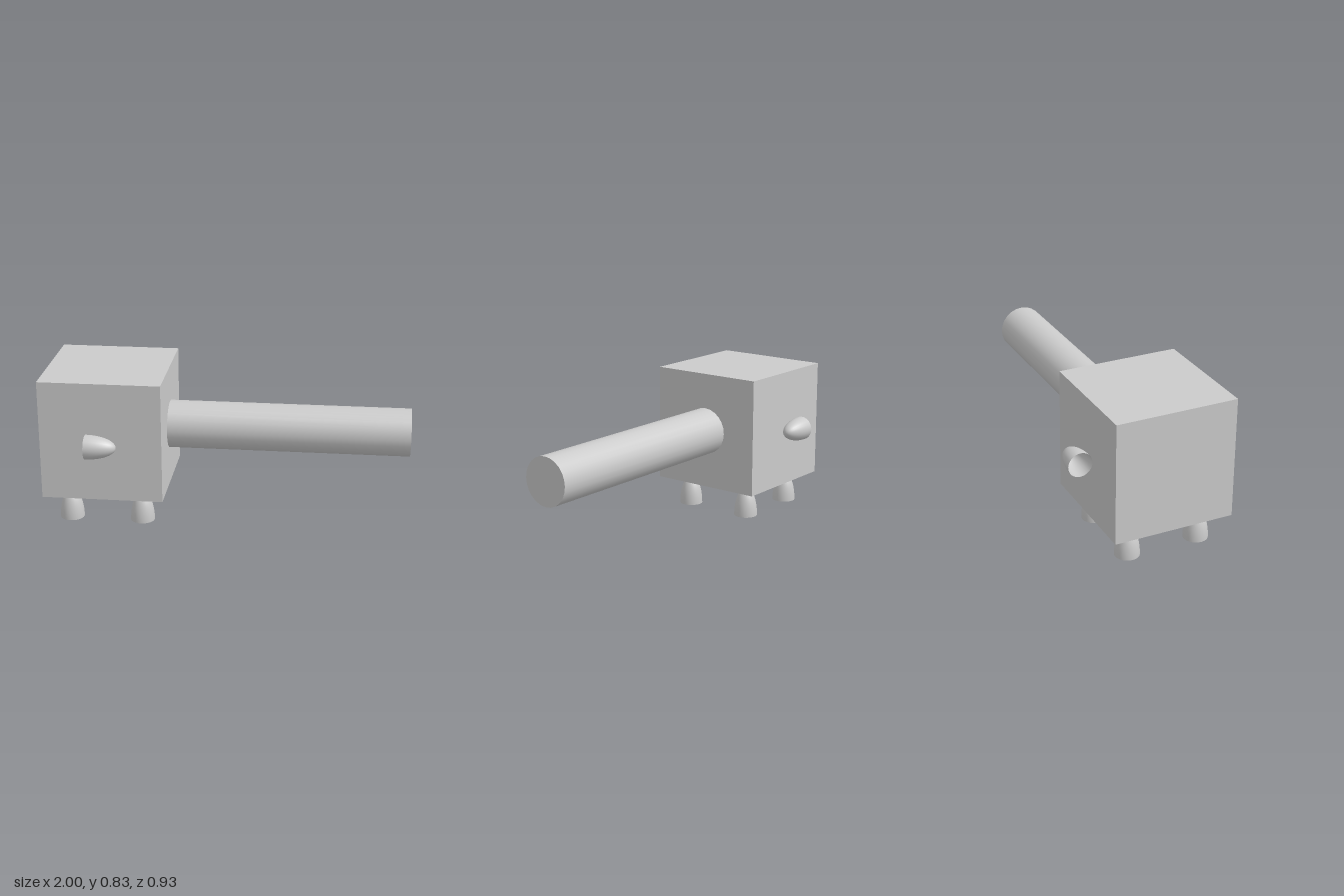
import * as THREE from 'three';

const material = new THREE.MeshStandardMaterial({ color: 0xcccccc });
const shellMaterial = new THREE.MeshStandardMaterial({ color: 0xcccccc, side: THREE.DoubleSide });

export function createModel() {
  const group = new THREE.Group();

  function add(name, geometry, mat, x, y, z) {
    const mesh = new THREE.Mesh(geometry, mat);
    mesh.name = name;
    mesh.position.set(x, y, z);
    group.add(mesh);
    return mesh;
  }

  // Cubic body
  add('body', new THREE.BoxGeometry(0.667, 0.667, 0.667), material, -0.667, 0.5, 0);

  // Long barrel along +x
  const barrel = new THREE.CylinderGeometry(0.133, 0.133, 1.333, 24).rotateZ(-Math.PI / 2);
  add('barrel', barrel, material, 0.333, 0.5, 0);

  // Hollow half-ellipsoid, open at its base, tip pointing up
  const shell = new THREE.SphereGeometry(0.067, 24, 12, 0, Math.PI * 2, 0, Math.PI / 2)
    .scale(1, 2.48, 1);
  const sideShell = shell.clone().rotateZ(-Math.PI / 2);

  for (const side of [1, -1]) {
    const end = side > 0 ? 'Front' : 'Back';
    // Legs
    add('leftLeg' + end, shell, shellMaterial, -0.467, 0, side * 0.2);
    add('rightLeg' + end, shell, shellMaterial, -0.867, 0, side * 0.2);
    // Side pods, tips pointing along the barrel
    add('sidePod' + end, sideShell, shellMaterial, -0.735, 0.5, side * 0.4);
  }

  return group;
}
